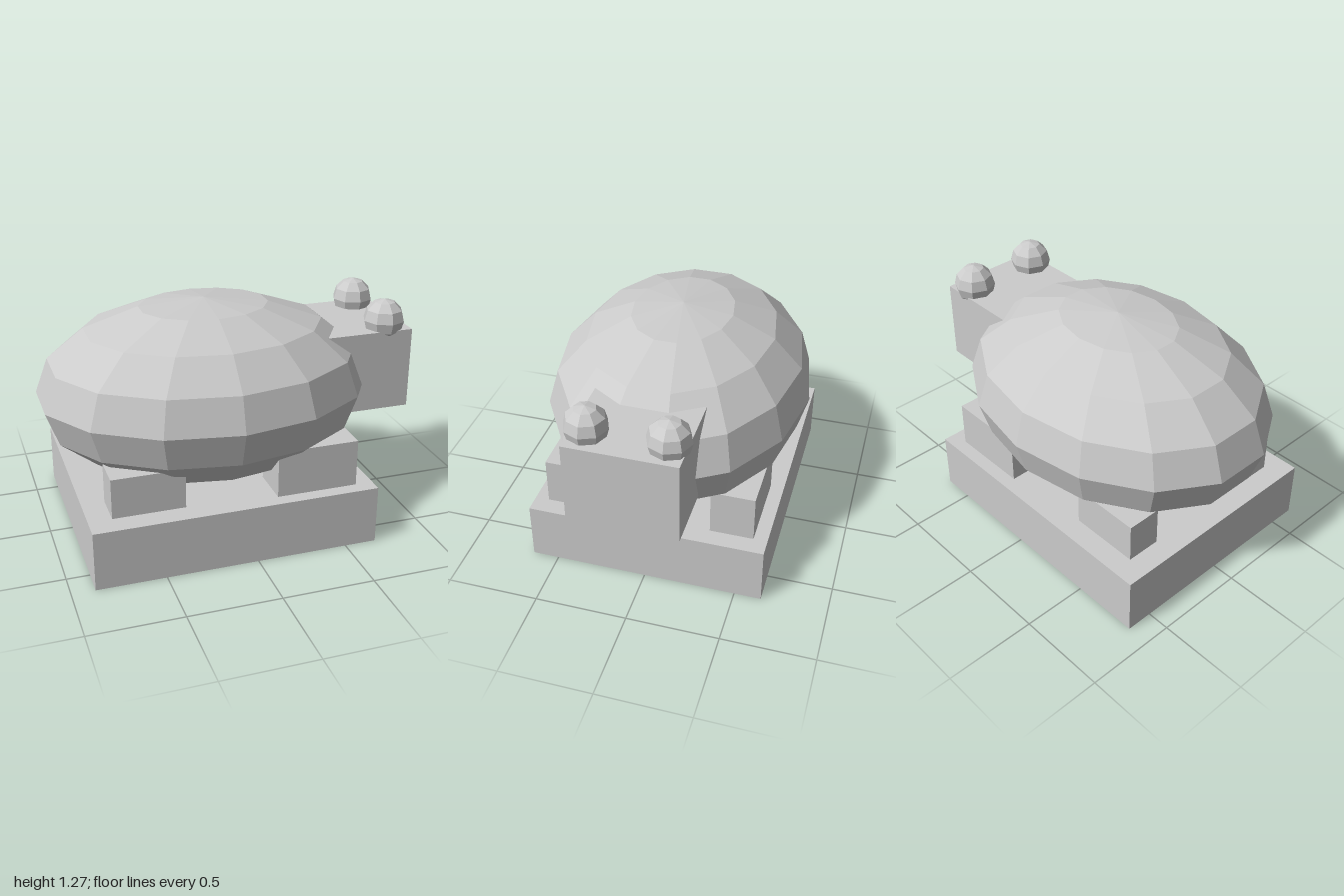
import * as THREE from 'three';

const material = new THREE.MeshStandardMaterial({ color: 0xcccccc, flatShading: true });

function add(group, name, geometry, x, y, z) {
  const mesh = new THREE.Mesh(geometry, material);
  mesh.name = name;
  mesh.position.set(x, y, z);
  group.add(mesh);
  return mesh;
}

// Box given by its minimum and maximum corners
function addBox(group, name, [x0, y0, z0], [x1, y1, z1]) {
  const geometry = new THREE.BoxGeometry(x1 - x0, y1 - y0, z1 - z0);
  return add(group, name, geometry, (x0 + x1) / 2, (y0 + y1) / 2, (z0 + z1) / 2);
}

export function createModel() {
  const model = new THREE.Group();
  model.name = 'turtle';

  // Plinth
  addBox(model, 'base', [-0.875, 0, -0.645], [0.675, 0.325, 0.645]);

  // Faceted shell, turned so that vertices lie on the z axis
  const shell = new THREE.SphereGeometry(1, 14, 8, Math.PI / 2);
  shell.scale(0.923, 0.495, 0.71);
  add(model, 'shell', shell, -0.1, 0.78, 0);

  // Head facing +x
  addBox(model, 'head', [0.42, 0.62, -0.29], [1, 1.07, 0.29]);

  // Paired eyes and legs
  for (const side of [-1, 1]) {
    const label = side > 0 ? 'Front' : 'Back';
    add(model, 'eye' + label, new THREE.SphereGeometry(0.115, 8, 6), 0.867, 1.115, side * 0.205);

    const foreleg = addBox(model, 'foreleg' + label, [0.13, 0.3, 0.335], [0.577, 0.585, 0.57]);
    const hindLeg = addBox(model, 'hindLeg' + label, [-0.75, 0.3, 0.335], [-0.36, 0.545, 0.525]);
    foreleg.position.z *= side;
    hindLeg.position.z *= side;
  }

  return model;
}
